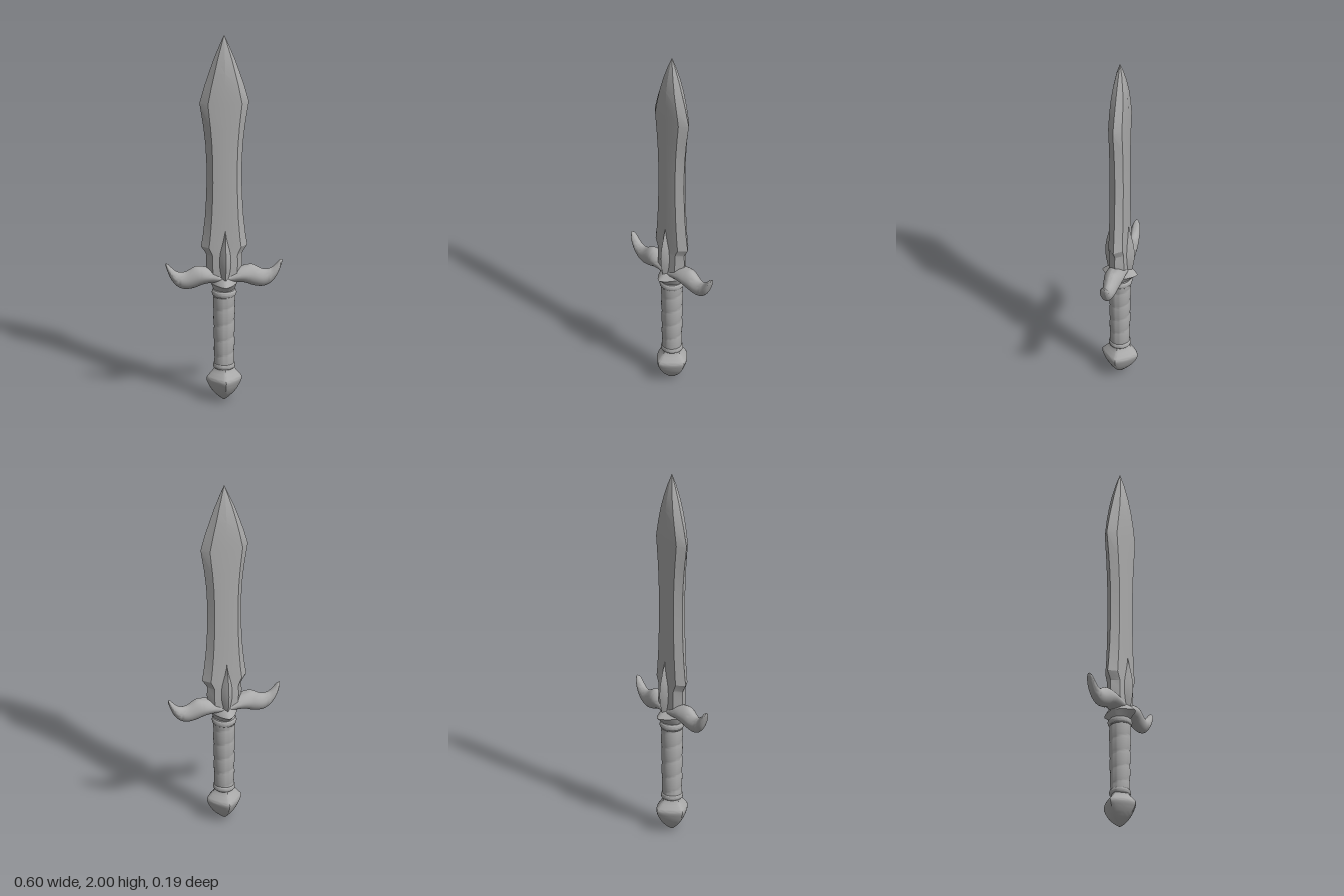
import * as THREE from 'three';
import { toCreasedNormals } from 'three/addons/utils/BufferGeometryUtils.js';

const metal = new THREE.MeshStandardMaterial({ color: 0xaaaaaa });
metal.name = 'grey metal';

// Unit outline: power 1 is a diamond, 2 is a circle
function outline(power, count) {
  const fold = (v) => (Math.abs(v) < 1e-6 ? 0 : Math.sign(v) * Math.abs(v) ** (2 / power));
  return Array.from({ length: count }, (_, i) => {
    const t = (i / count) * Math.PI * 2;
    return [fold(Math.cos(t)), fold(Math.sin(t))];
  });
}

// Skin through sections [y, half width, half depth, x offset]; ends are closed
function loft(sections, shape, crease = 0.6) {
  const first = sections[0], last = sections[sections.length - 1];
  const rings = [[first[0], 0, 0, first[3]], ...sections, [last[0], 0, 0, last[3]]];
  const n = shape.length, positions = [], index = [];
  rings.forEach(([y, w, d, dx = 0], i) => {
    shape.forEach(([x, z], j) => {
      positions.push(x * w + dx, y, -z * d);
      if (i === rings.length - 1) return;
      const a = i * n + j, b = i * n + ((j + 1) % n);
      index.push(a, b, a + n, b, b + n, a + n);
    });
  });
  const geometry = new THREE.BufferGeometry();
  geometry.setAttribute('position', new THREE.Float32BufferAttribute(positions, 3));
  geometry.setIndex(index);
  return toCreasedNormals(geometry, crease);
}

// Add smooth in-between sections along a spline
function smooth(sections, steps) {
  const at = (k) => new THREE.SplineCurve(sections.map((s, i) => new THREE.Vector2(i, s[k] || 0)));
  const curves = [0, 1, 2, 3].map(at);
  return Array.from({ length: steps + 1 }, (_, i) =>
    curves.map((c, k) => (k === 1 || k === 2 ? Math.max(0, c.getPoint(i / steps).y) : c.getPoint(i / steps).y)));
}

export function createModel() {
  const model = new THREE.Group();
  model.name = 'dagger';
  const add = (name, geometry) => {
    const mesh = new THREE.Mesh(geometry, metal);
    mesh.name = name;
    model.add(mesh);
    return mesh;
  };

  // Blade: bevelled edges and a faint middle ridge
  const bladeShape = [[1, 0], [0.69, 0.8], [0, 1], [-0.69, 0.8], [-1, 0], [-0.69, -0.8], [0, -1], [0.69, -0.8]];
  add('blade', loft([
    [0.67, 0.085, 0.05], [0.75, 0.094, 0.05], [0.8, 0.092, 0.049], [0.815, 0.1, 0.048], [0.845, 0.12, 0.047],
    [0.9, 0.111, 0.046], [1, 0.1, 0.046], [1.1, 0.094, 0.046], [1.2, 0.091, 0.046], [1.3, 0.092, 0.046],
    [1.4, 0.097, 0.046], [1.5, 0.108, 0.046], [1.63, 0.128, 0.046], [1.72, 0.104, 0.045],
    [1.8, 0.078, 0.041], [1.87, 0.054, 0.032], [1.94, 0.026, 0.018], [2, 0, 0]
  ], bladeShape, 0.3));

  // Leaf-shaped boss over the root of the blade
  add('leafBoss', loft(smooth([
    [0.62, 0.025, 0.05], [0.68, 0.046, 0.067], [0.75, 0.057, 0.078],
    [0.82, 0.05, 0.075], [0.89, 0.025, 0.061], [0.95, 0.002, 0.046]
  ], 20), outline(1.15, 24)));

  // Curled guard arms, lofted sideways
  const armShape = outline(1.8, 28);
  for (const side of [1, -1]) {
    // Each row: x, bottom, top, half depth
    const rows = [
      [0, 0.64, 0.7, 0.05], [0.06, 0.645, 0.72, 0.05], [0.11, 0.638, 0.733, 0.05], [0.15, 0.622, 0.735, 0.043],
      [0.2, 0.615, 0.709, 0.034], [0.24, 0.63, 0.71, 0.028], [0.27, 0.663, 0.733, 0.025],
      [0.29, 0.706, 0.754, 0.019], [0.302, 0.742, 0.757, 0.008]
    ].map(([x, low, high, depth]) => [x, (high - low) / 2, depth, -(low + high) / 2]);
    const geometry = loft(smooth(rows, 32), armShape);
    geometry.rotateZ(-Math.PI / 2);
    if (side < 0) geometry.rotateY(Math.PI);
    add(side > 0 ? 'leftGuardArm' : 'rightGuardArm', geometry);
  }

  // Collar under the guard, pointed towards front and back
  add('collar', loft([
    [0.6, 0.05, 0.05], [0.615, 0.058, 0.062], [0.642, 0.068, 0.094], [0.66, 0.065, 0.075], [0.685, 0.05, 0.05]
  ], outline(1.4, 32), 0.5));

  // Grip with a spiral leather wrap
  const grip = new THREE.CylinderGeometry(0.056, 0.05, 0.42, 40, 70);
  grip.translate(0, 0.39, 0);
  const p = grip.attributes.position;
  for (let i = 0; i < p.count; i++) {
    const x = p.getX(i), y = p.getY(i), z = p.getZ(i);
    if (Math.hypot(x, z) < 0.01) continue;
    const turn = (y / 0.085 - Math.atan2(x, z) / (Math.PI * 2) + 10) % 1;
    const swell = 0.96 + 0.07 * Math.sin(turn * Math.PI) ** 0.5;
    p.setXYZ(i, x * swell, y, z * swell);
  }
  add('grip', toCreasedNormals(grip, 0.7));

  // Rounded rings at both ends of the grip
  const ring = (name, y, radius, height) => {
    const h = height / 2;
    const profile = [[0, -h], [radius - 0.008, -h], [radius - 0.002, -h * 0.6], [radius, 0],
      [radius - 0.002, h * 0.6], [radius - 0.008, h], [0, h]].map(([r, v]) => new THREE.Vector2(r, v));
    add(name, toCreasedNormals(new THREE.LatheGeometry(profile, 36), 0.8)).position.y = y;
  };
  ring('upperRing', 0.59, 0.064, 0.032);
  ring('upperThinRing', 0.572, 0.057, 0.014);
  ring('lowerRing', 0.192, 0.057, 0.03);

  // Four-cornered pommel ending in a point
  add('pommel', loft(smooth([
    [0, 0, 0], [0.018, 0.025, 0.026], [0.05, 0.058, 0.06], [0.09, 0.082, 0.086], [0.122, 0.092, 0.095],
    [0.145, 0.077, 0.078], [0.165, 0.06, 0.06], [0.185, 0.05, 0.05]
  ], 28), outline(1.3, 32)));

  return model;
}
